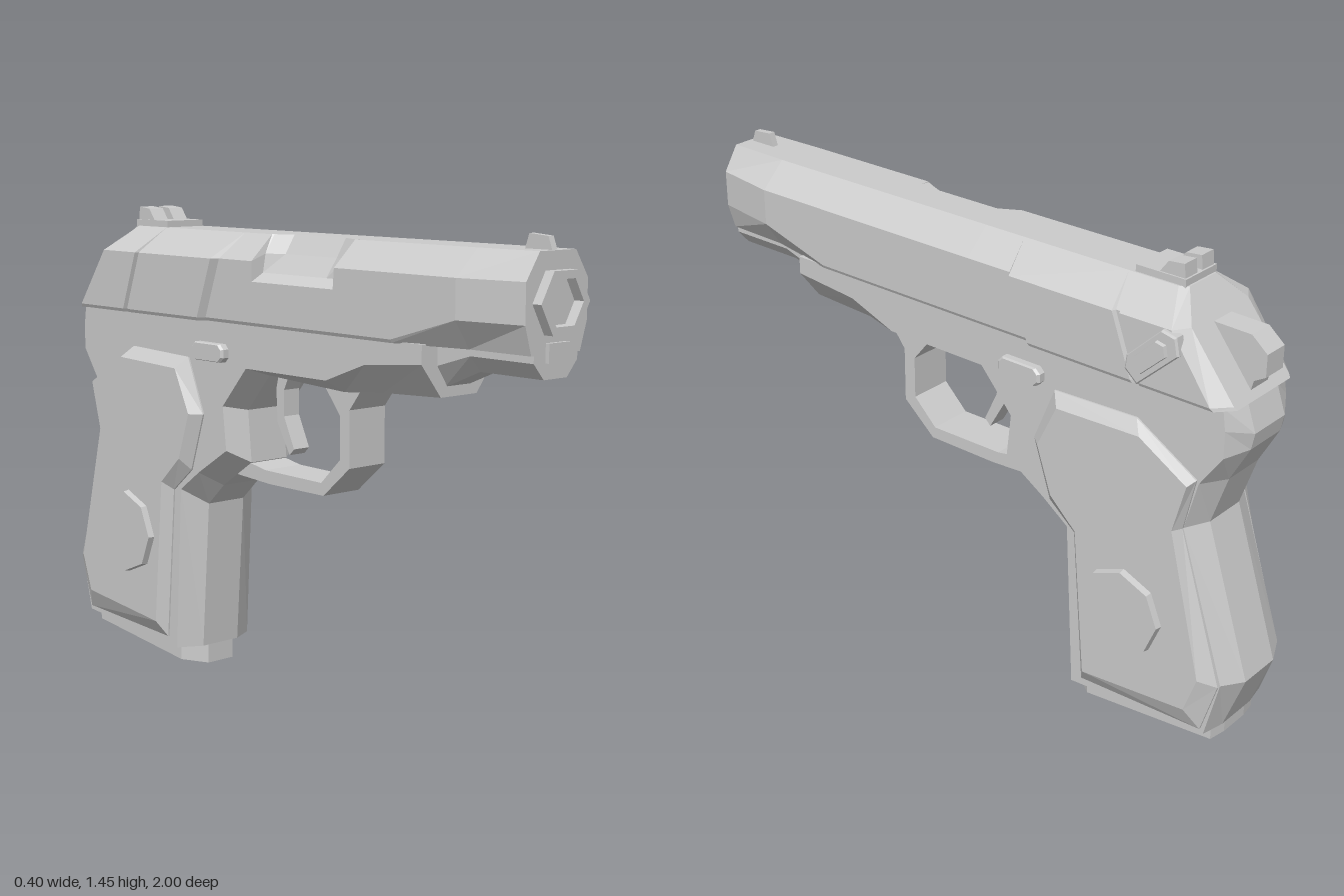
import * as THREE from 'three';

const grey = new THREE.MeshStandardMaterial({ color: 0xcccccc, flatShading: true });
const open = new THREE.MeshStandardMaterial({ color: 0xcccccc, flatShading: true, side: THREE.DoubleSide });

// Closed solid through matching rings of [x, y, z]; u is the ring's flat axis (0 = x, 2 = z) beside y.
function loft(rings, u) {
  const n = rings[0].length, tris = [];
  for (let k = 0; k < rings.length - 1; k++) {
    for (let i = 0; i < n; i++) {
      const j = (i + 1) % n, a = rings[k][i], b = rings[k][j], c = rings[k + 1][j], d = rings[k + 1][i];
      tris.push([a, d, c], [a, c, b]);
    }
  }
  // end caps
  [rings[0], rings[rings.length - 1]].forEach((ring, end) => {
    const flat = ring.map(p => new THREE.Vector2(p[u], p[1]));
    const ringSign = Math.sign(THREE.ShapeUtils.area(flat));
    for (const t of THREE.ShapeUtils.triangulateShape(flat, [])) {
      const same = Math.sign(THREE.ShapeUtils.area(t.map(i => flat[i]))) === ringSign;
      const tri = t.map(i => ring[i]);
      tris.push(same === (end === 0) ? tri : tri.reverse());
    }
  });
  // turn the faces outward
  let volume = 0;
  for (const [a, b, c] of tris) {
    volume += a[0] * (b[1] * c[2] - b[2] * c[1]) - a[1] * (b[0] * c[2] - b[2] * c[0]) + a[2] * (b[0] * c[1] - b[1] * c[0]);
  }
  if (volume < 0) tris.forEach(t => t.reverse());
  const geo = new THREE.BufferGeometry();
  geo.setAttribute('position', new THREE.Float32BufferAttribute(tris.flat(2), 3));
  geo.computeVertexNormals();
  return geo;
}

// Side outlines of [z, y] placed at given x
const at = (x, pts) => pts.map(([z, y]) => [x, y, z]);
const plate = (...layers) => loft(layers.map(([x, pts]) => at(x, pts)), 2);
// Symmetric slab: layers run from the middle outward
const slab = (...layers) => plate(...layers.map(([x, p]) => [-x, p]).reverse(), ...layers);

function shrink(pts, s) {
  const cz = pts.reduce((t, p) => t + p[0], 0) / pts.length;
  const cy = pts.reduce((t, p) => t + p[1], 0) / pts.length;
  return pts.map(([z, y]) => [cz + (z - cz) * s, cy + (y - cy) * s]);
}

// Slide cross-section, leaning back by lean; port cuts the right shoulder
function slideRing([z, lean, w, low, wl, top, port]) {
  const left = [[wl, 1.12], [w, low], [w, 1.31], [top, 1.385]];
  const right = port
    ? [[port, 1.385], [port - 0.035, 1.33], [-0.115, 1.275], [-w, 1.25]]
    : [[-0.04, 1.385], [-top, 1.385], [-w, 1.31], [-w, 1.25]];
  return [...left, ...right, [-w, low], [-wl, 1.12]].map(([x, y]) => [x, y, z - (1.31 - y) * lean]);
}

export function createModel() {
  const model = new THREE.Group();
  const add = (name, geo, mat = grey) => {
    const m = new THREE.Mesh(geo, mat);
    m.name = name;
    model.add(m);
    return m;
  };

  // Slide: tapered nose, port, wider rear with a groove, bevelled sloping back
  add('slide', loft([
    [0.97, 0, 0.12, 1.2, 0.095, 0.07],
    [0.76, 0, 0.155, 1.2, 0.1, 0.075],
    [0.52, 0, 0.155, 1.13, 0.15, 0.075],
    [0.295, 0, 0.155, 1.13, 0.15, 0.075],
    [0.29, 0, 0.155, 1.13, 0.15, 0.075, -0.07],
    [0.22, 0, 0.155, 1.13, 0.15, 0.075, -0.04],
    [0, 0, 0.155, 1.13, 0.15, 0.075, -0.04],
    [-0.055, 0, 0.155, 1.13, 0.15, 0.075, -0.07],
    [-0.06, 0, 0.155, 1.13, 0.15, 0.075],
    [-0.21, 0.37, 0.155, 1.13, 0.15, 0.075],
    [-0.225, 0.37, 0.177, 1.13, 0.172, 0.075],
    [-0.575, 0.37, 0.177, 1.13, 0.172, 0.075],
    [-0.58, 0.37, 0.165, 1.13, 0.16, 0.075],
    [-0.595, 0.37, 0.165, 1.13, 0.16, 0.075],
    [-0.6, 0.37, 0.177, 1.13, 0.172, 0.075],
    [-0.765, 0.72, 0.177, 1.13, 0.172, 0.075],
    [-0.795, 0.79, 0.13, 1.13, 0.125, 0.06],
  ].map(slideRing), 0));

  // Frame and grip core, with chamfered edges
  add('frame', slab(
    [0.07, [[0.63, 1.125], [0.63, 0.975], [0.41, 0.965], [0.25, 0.95], [-0.08, 0.965], [-0.18, 0.85],
      [-0.165, 0.69], [-0.3, 0.6], [-0.375, 0.53], [-0.41, 0.06], [-0.935, 0.095], [-1, 0.27],
      [-0.85, 0.73], [-0.9, 0.88], [-0.96, 0.99], [-0.97, 1.04], [-0.94, 1.125]]],
    [0.145, [[0.63, 1.125], [0.63, 1.07], [0.41, 1.05], [0.25, 0.99], [-0.1, 0.99], [-0.21, 0.865],
      [-0.195, 0.73], [-0.33, 0.645], [-0.42, 0.58], [-0.45, 0.06], [-0.92, 0.095], [-0.965, 0.28],
      [-0.815, 0.73], [-0.855, 0.88], [-0.925, 0.98], [-0.925, 1.06], [-0.915, 1.125]]]));

  add('dustCover', slab(
    [0.045, [[0.97, 1.14], [0.97, 1.055], [0.75, 1.055], [0.62, 1], [0.62, 1.14]]],
    [0.085, [[0.97, 1.14], [0.97, 1.1], [0.75, 1.1], [0.62, 1.06], [0.62, 1.14]]]));

  // Grip panels, medallions and catches on both sides
  const base = [[-0.37, 1], [-0.65, 1.01], [-0.85, 0.89], [-0.815, 0.73], [-0.96, 0.275], [-0.91, 0.11],
    [-0.49, 0.09], [-0.45, 0.575], [-0.36, 0.65], [-0.3, 0.83]];
  const face = [[-0.4, 0.965], [-0.68, 0.975], [-0.84, 0.88], [-0.8, 0.73], [-0.91, 0.29], [-0.87, 0.175],
    [-0.515, 0.14], [-0.475, 0.6], [-0.385, 0.685], [-0.335, 0.83]];
  const latch = [[-0.18, 1.015], [-0.195, 1], [-0.315, 1], [-0.33, 1.015], [-0.33, 1.04], [-0.315, 1.055],
    [-0.195, 1.055], [-0.18, 1.04]];
  for (const [side, s] of [['left', 1], ['right', -1]]) {
    add(side + 'GripPanel', plate([s * 0.13, base], [s * 0.15, base], [s * 0.18, face]));
    add(side + 'Catch', plate([s * 0.13, latch], [s * 0.165, latch], [s * 0.172, shrink(latch, 0.9)]));
    const disc = add(side + 'Medallion', new THREE.CylinderGeometry(0.13, 0.137, 0.04, 8));
    disc.rotation.z = -s * Math.PI / 2;
    disc.position.set(s * 0.18, 0.415, -0.65);
  }

  // Magazine floor plate
  add('magazineBase', slab(
    [0.05, [[-0.41, 0], [-0.41, 0.062], [-0.93, 0.1], [-0.93, 0.055]]],
    [0.105, [[-0.48, 0.007], [-0.48, 0.065], [-0.92, 0.1], [-0.92, 0.054]]]));

  // Trigger and guard
  add('triggerGuard', slab([0.07, [[0.32, 0.965], [0.27, 0.9], [0.27, 0.73], [0.16, 0.635], [-0.08, 0.635],
    [-0.24, 0.645], [-0.24, 0.7], [-0.1, 0.675], [0.15, 0.672], [0.23, 0.75], [0.23, 0.88], [0.16, 0.965]]]));
  add('trigger', slab([0.03, [[-0.03, 0.98], [-0.06, 0.92], [-0.06, 0.84], [-0.015, 0.745], [-0.035, 0.725],
    [-0.09, 0.82], [-0.095, 0.92], [-0.08, 0.98]]]));

  // Muzzle with six-sided bore, and guide rod
  const bore = [[0.095, 0], [0.095, 0.05], [0.07, 0.05], [0.06, -0.1], [0, -0.1]].map(p => new THREE.Vector2(...p));
  const muzzle = add('muzzle', new THREE.LatheGeometry(bore, 6, Math.PI / 6), open);
  muzzle.rotation.x = Math.PI / 2;
  muzzle.position.set(0, 1.253, 0.95);
  add('guideRod', new THREE.BoxGeometry(0.08, 0.052, 0.06)).position.set(0, 1.124, 0.952);

  // Sights
  add('frontSight', slab([0.01, [[0.96, 1.38], [0.945, 1.42], [0.88, 1.425], [0.865, 1.38]]]));
  add('rearSightBase', slab([0.07, [[-0.57, 1.38], [-0.57, 1.405], [-0.73, 1.405], [-0.73, 1.38]]]));
  const post = [[-0.64, 1.4], [-0.67, 1.44], [-0.72, 1.445], [-0.725, 1.4]];
  for (const s of [1, -1]) add('rearSightPost', plate([s * 0.012, post], [s * 0.065, post]));

  // Hammer
  const hammer = [[-0.8, 1.11], [-0.8, 1.3], [-0.92, 1.297], [-0.97, 1.255], [-0.97, 1.19], [-0.935, 1.17], [-0.92, 1.11]];
  add('hammer', slab([0.04, hammer]));

  // Safety lever on the left side
  const lever = [[-0.63, 1.165], [-0.67, 1.13], [-0.8, 1.25], [-0.79, 1.3], [-0.745, 1.31], [-0.635, 1.205]];
  add('safetyLever', plate([0.16, lever], [0.186, lever], [0.19, shrink(lever, 0.93)]));
  const bar = shrink(lever, 0.65);
  add('safetyLeverGrip', plate([0.18, bar], [0.2, shrink(bar, 0.9)]));

  return model;
}
